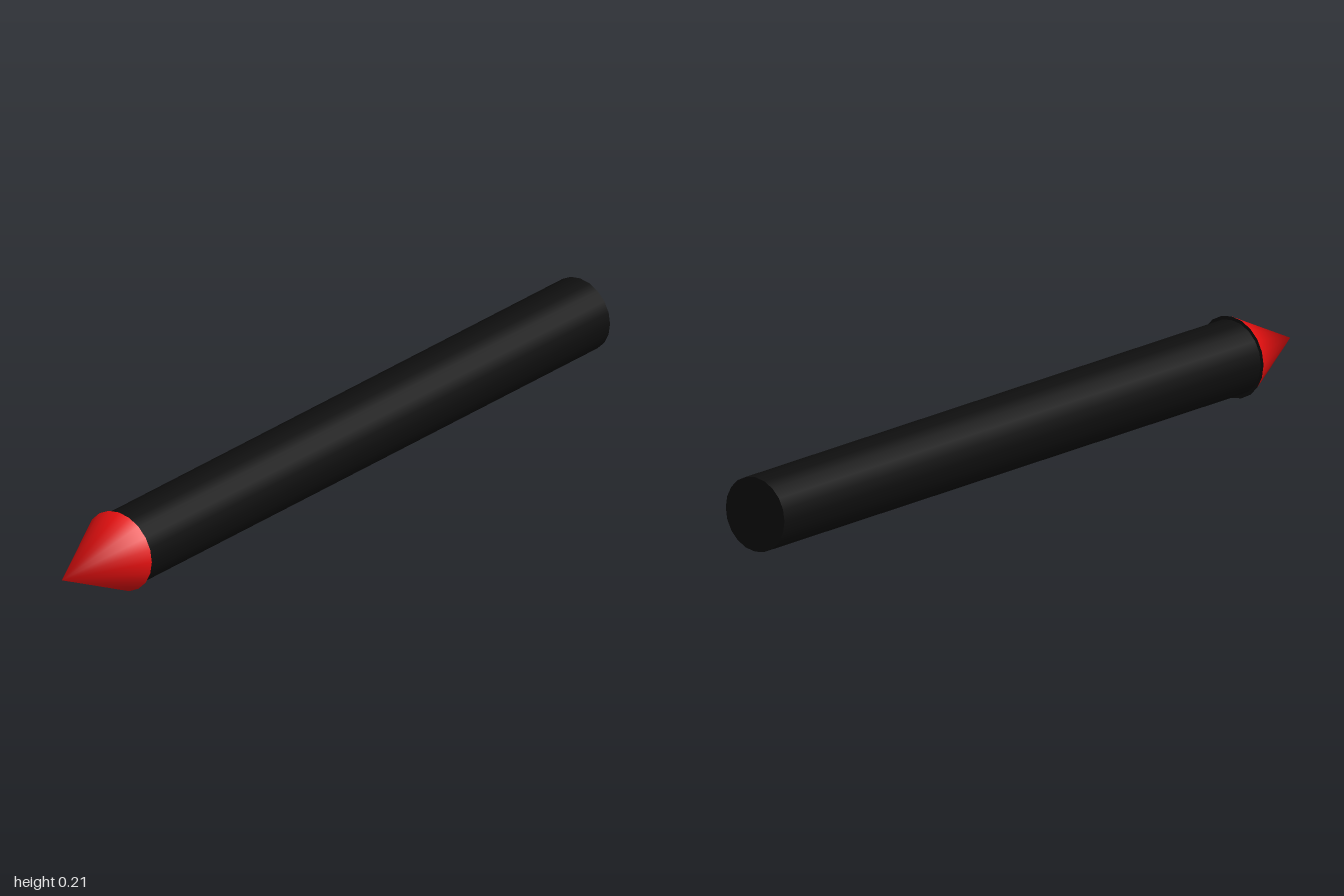
import * as THREE from 'three';
import { mergeVertices } from 'three/addons/utils/BufferGeometryUtils.js';

const SIDES = 20;
const TIP_R = 0.104, SHAFT_R = 0.095;
const BACK = -1, JOINT = 0.78, FRONT = 1;

export function createModel() {
  const group = new THREE.Group();
  const black = new THREE.MeshStandardMaterial({ color: 0x0e0e0e });
  const red = new THREE.MeshStandardMaterial({ color: 0xe81010 });

  const add = (name, geometry, material, z) => {
    const mesh = new THREE.Mesh(geometry, material);
    mesh.name = name;
    mesh.position.set(0, TIP_R, z);
    group.add(mesh);
  };

  // Long round body, lying along z
  const shaft = new THREE.CylinderGeometry(SHAFT_R, SHAFT_R, JOINT - BACK, SIDES);
  add('shaft', shaft.rotateX(Math.PI / 2), black, (JOINT + BACK) / 2);

  // Pointed tip, shaded as one smooth surface up to a shared apex
  let tip = new THREE.ConeGeometry(TIP_R, FRONT - JOINT, SIDES, 1, true).rotateX(Math.PI / 2);
  tip.deleteAttribute('normal');
  tip.deleteAttribute('uv');
  tip = mergeVertices(tip, 1e-4);
  tip.computeVertexNormals();
  add('tip', tip, red, (JOINT + FRONT) / 2);

  // Dark disc closing the wider base of the tip; starts at the same angle as the tip
  const disc = new THREE.CircleGeometry(TIP_R, SIDES).rotateY(Math.PI);
  add('tipBase', disc, black, JOINT);

  return group;
}
